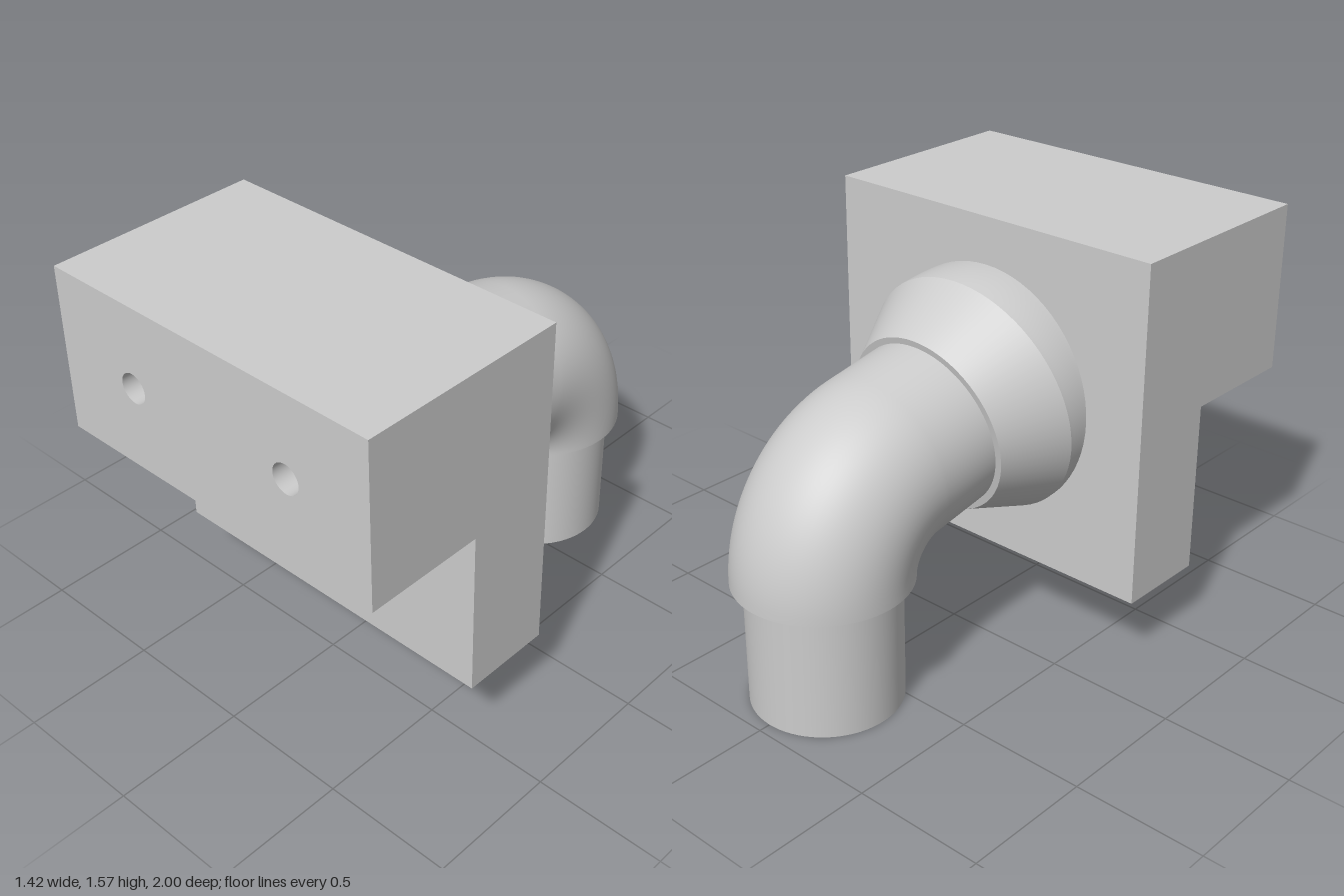
import * as THREE from 'three';
import { mergeGeometries } from 'three/addons/utils/BufferGeometryUtils.js';

const rad = THREE.MathUtils.degToRad;
const TILT = 10.3; // slope of the outlet axis, degrees

// Section: circle centre (y, z), radius r, tilt in degrees (0 faces -z, 90 faces -y)
const ring = (y, z, r, tilt) => ({ y, z, r, tilt: rad(tilt) });

// Smooth skin through a row of circular sections
function skin(sections, sides = 72) {
  const pos = [], index = [];
  for (const { y, z, r, tilt } of sections) {
    for (let j = 0; j < sides; j++) {
      const a = (j / sides) * Math.PI * 2, up = r * Math.sin(a);
      pos.push(r * Math.cos(a), y + up * Math.cos(tilt), z - up * Math.sin(tilt));
    }
  }
  for (let i = 0; i < sections.length - 1; i++) {
    for (let j = 0; j < sides; j++) {
      const k = (j + 1) % sides;
      const a = i * sides + j, b = i * sides + k, c = a + sides, d = b + sides;
      index.push(a, c, b, b, c, d);
    }
  }
  const g = new THREE.BufferGeometry();
  g.setAttribute('position', new THREE.Float32BufferAttribute(pos, 3));
  g.setIndex(index);
  g.computeVertexNormals();
  return g;
}

// Flat face closing a section, pointing along its axis
const cap = (s, inner = 0) => skin([s, { ...s, r: inner }]);

export function createModel() {
  const model = new THREE.Group();
  const grey = new THREE.MeshStandardMaterial({ color: 0xcccccc });
  grey.name = 'plain grey';
  const add = (name, ...parts) => {
    const mesh = new THREE.Mesh(parts.length > 1 ? mergeGeometries(parts) : parts[0], grey);
    mesh.name = name;
    model.add(mesh);
    return mesh;
  };

  // Stepped mounting block
  const W = 0.71, TOP = 1.57, STEP = 0.93, LOW = 0.27;
  const BACK = 0.17, MID = 0.53, FRONT = 1;
  const HOLE_X = 0.356, HOLE_R = 0.057, HOLE_DEPTH = 0.25;

  // Front wall between two heights, pierced by a pair of holes
  const frontWall = (y0, y1, z, holeY) => {
    const shape = new THREE.Shape([[-W, y0], [W, y0], [W, y1], [-W, y1]].map(p => new THREE.Vector2(...p)));
    for (const s of [-1, 1]) {
      shape.holes.push(new THREE.Path().absarc(s * HOLE_X, holeY, HOLE_R, 0, Math.PI * 2, true));
    }
    return new THREE.ShapeGeometry(shape, 18).translate(0, 0, z);
  };
  const levelWall = (z0, z1, y, dir) =>
    new THREE.PlaneGeometry(2 * W, z1 - z0).rotateX(-dir * Math.PI / 2).translate(0, y, (z0 + z1) / 2);
  const profile = new THREE.Shape([
    [-FRONT, STEP], [-MID, STEP], [-MID, LOW], [-BACK, LOW], [-BACK, TOP], [-FRONT, TOP],
  ].map(p => new THREE.Vector2(...p)));
  const mirrored = new THREE.Shape(profile.getPoints().map(p => new THREE.Vector2(-p.x, p.y)));

  add('mountingBlock',
    frontWall(STEP, TOP, FRONT, 1.25),
    frontWall(LOW, STEP, MID, 0.6),
    levelWall(BACK, FRONT, TOP, 1),
    levelWall(MID, FRONT, STEP, -1),
    levelWall(BACK, MID, LOW, -1),
    new THREE.PlaneGeometry(2 * W, TOP - LOW).rotateY(Math.PI).translate(0, (TOP + LOW) / 2, BACK),
    new THREE.ShapeGeometry(profile).rotateY(Math.PI / 2).translate(W, 0, 0),
    new THREE.ShapeGeometry(mirrored).rotateY(-Math.PI / 2).translate(-W, 0, 0));

  // Blind bolt holes
  for (const [y, z] of [[1.25, FRONT], [0.6, MID]]) {
    for (const s of [-1, 1]) {
      const floor = ring(y, z - HOLE_DEPTH, HOLE_R, 0);
      const hole = add('boltHole', skin([floor, ring(y, z, HOLE_R, 0)]), skin([{ ...floor, r: 0 }, floor]));
      hole.position.x = s * HOLE_X;
    }
  }

  // Collar: a wedge swinging about its lowest point, then a taper
  const COLLAR_R = 0.4727, PIVOT_Y = 0.445;
  const wedge = [];
  for (let i = 0; i <= 6; i++) {
    const t = (TILT * i) / 6;
    wedge.push(ring(PIVOT_Y + COLLAR_R * Math.cos(rad(t)), BACK - COLLAR_R * Math.sin(rad(t)), COLLAR_R, t));
  }
  const mouth = ring(0.87, -0.148, 0.35, TILT);
  add('collarBase', skin(wedge));
  add('collarTaper', skin([wedge[6], mouth]), cap(mouth, 0.3));

  // Elbow: short straight run, then a tight bend downward
  const PIPE_R = 0.325, BEND_R = 0.353, PIPE_Z = -0.675, BEND_Y = 0.48;
  const elbow = [ring(0.871, -0.148, PIPE_R, TILT)];
  for (let i = 0; i <= 28; i++) {
    const t = TILT + ((90 - TILT) * i) / 28;
    elbow.push(ring(BEND_Y + BEND_R * Math.cos(rad(t)),
      PIPE_Z + BEND_R - BEND_R * Math.sin(rad(t)), PIPE_R, t));
  }
  add('elbow', skin(elbow), cap(elbow[elbow.length - 1], 0.28));

  // Spigot at the outlet
  const outlet = ring(0, PIPE_Z, 0.28, 90);
  add('spigot', skin([ring(BEND_Y, PIPE_Z, 0.28, 90), outlet]), cap(outlet));

  return model;
}
